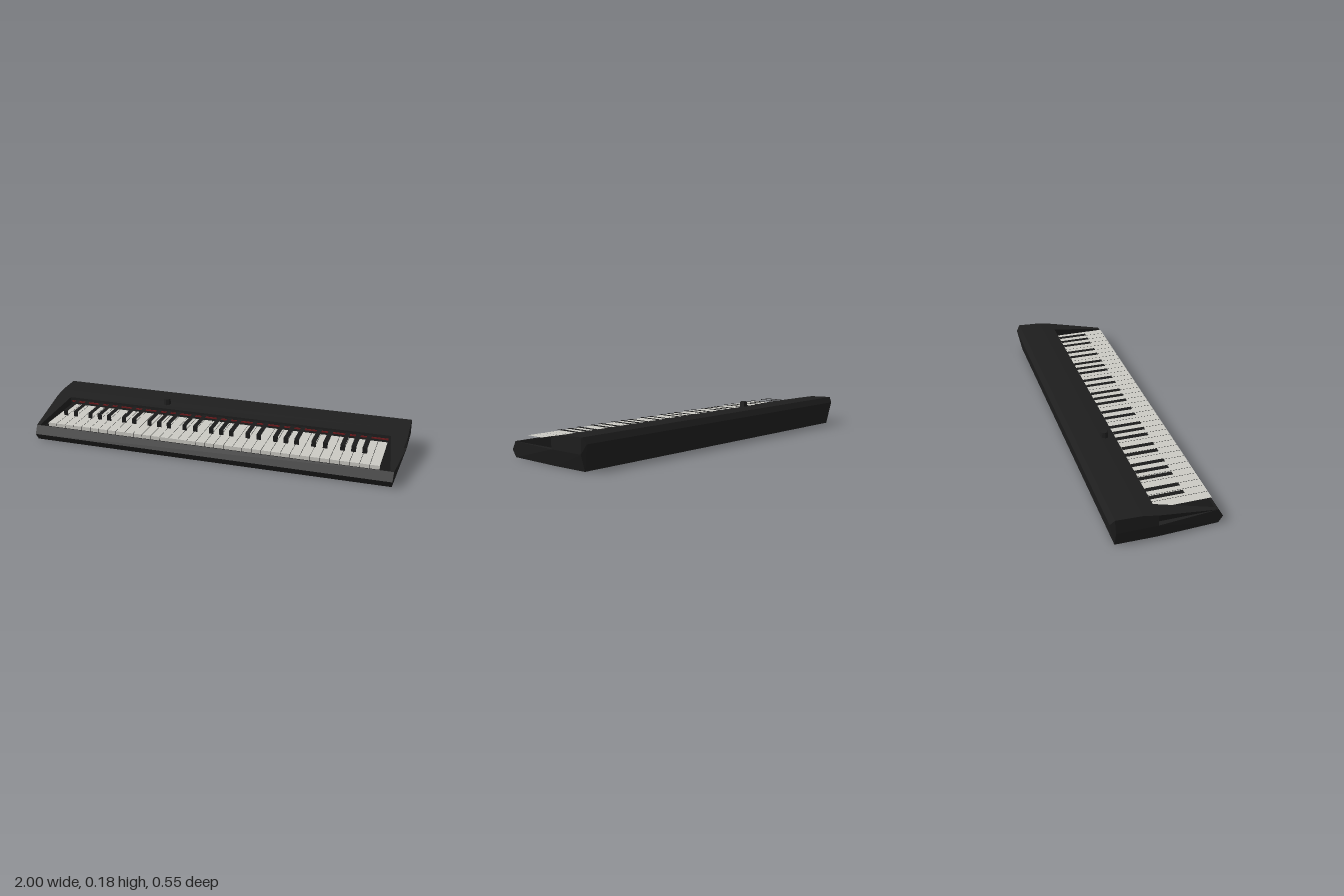
import * as THREE from 'three';

const mat = (name, color, side = THREE.FrontSide) => {
  const m = new THREE.MeshStandardMaterial({ color, side });
  m.name = name;
  return m;
};

// Flat-faced surface from a list of convex polygons
function faces(polys) {
  const pos = [];
  for (const p of polys)
    for (let i = 1; i < p.length - 1; i++) pos.push(...p[0], ...p[i], ...p[i + 1]);
  const g = new THREE.BufferGeometry();
  g.setAttribute('position', new THREE.Float32BufferAttribute(pos, 3));
  g.computeVertexNormals();
  return g;
}

// Skin across the width through profile points [z, y, halfWidth]
function skin(profile) {
  const polys = [];
  for (let i = 0; i < profile.length - 1; i++) {
    const [z0, y0, w0] = profile[i], [z1, y1, w1] = profile[i + 1];
    polys.push([[-w0, y0, z0], [w0, y0, z0], [w1, y1, z1], [-w1, y1, z1]]);
  }
  return faces(polys);
}

// Key shell: a front face and a flat top
const keyShell = (width, zFront, zBack, bottom, top) =>
  skin([[zFront, bottom, width / 2], [zFront, top, width / 2], [zBack, top, width / 2]]);

export function createModel() {
  const model = new THREE.Group();
  model.name = 'stagePiano';
  const casing = mat('casing black', 0x1e1e1e, THREE.DoubleSide);
  const dark = mat('key bed black', 0x161616, THREE.DoubleSide);
  const ivory = mat('white key', 0xcac9c3);
  const ebony = mat('black key', 0x1a1a1a);
  const red = mat('red felt', 0x6c1a1c);

  const add = (name, geometry, material, parent = model) => {
    const m = new THREE.Mesh(geometry, material);
    m.name = name;
    parent.add(m);
    return m;
  };

  // Hollow casing, open below: front rail, rear deck with bevelled back
  add('frontRail', skin([[0.257, 0, 0.967], [0.278, 0.036, 0.97], [0.252, 0.08, 0.972],
    [0.247, 0.08, 0.972], [0.247, 0.065, 0.971]]), casing);
  add('rearDeck', skin([[-0.05, 0.138, 1], [-0.125, 0.152, 1], [-0.256, 0.157, 1],
    [-0.276, 0.127, 0.987], [-0.25, 0, 0.977]]), casing);

  // Key bed and the step up to the deck behind the keys
  add('keyBed', skin([[0.258, 0.065, 0.97], [-0.05, 0.065, 0.97]]), dark);
  add('keySlotWall', skin([[-0.05, 0.138, 0.97], [-0.05, 0.065, 0.97]]), casing);

  // End walls and the sloping cheeks beside the keys
  for (const s of [-1, 1]) {
    const end = new THREE.Group();
    end.name = s > 0 ? 'leftEnd' : 'rightEnd';
    model.add(end);
    const P = (x, y, z) => [s * x, y, z];
    add('endWall', faces([
      [P(0.967, 0, 0.257), P(0.97, 0.036, 0.278), P(0.972, 0.08, 0.252)],
      [P(0.967, 0, 0.257), P(0.972, 0.08, 0.252), P(1, 0.08, -0.05), P(0.98, 0, -0.05)],
      [P(0.98, 0, -0.05), P(1, 0.08, -0.05), P(1, 0.08, -0.25), P(0.977, 0, -0.25)],
      [P(0.977, 0, -0.25), P(1, 0.08, -0.25), P(0.987, 0.127, -0.276)],
      [P(1, 0.08, -0.25), P(1, 0.157, -0.256), P(0.987, 0.127, -0.276)],
      [P(1, 0.08, -0.05), P(1, 0.138, -0.05), P(1, 0.152, -0.125), P(1, 0.157, -0.256), P(1, 0.08, -0.25)],
    ]), casing, end);
    // Cheek: tapering top, undercut outer side with ledge, and inner side
    add('cheek', faces([
      [P(0.955, 0.08, 0.252), P(0.972, 0.08, 0.252), P(1, 0.138, -0.05), P(0.915, 0.138, -0.05)],
      [P(0.972, 0.08, 0.252), P(0.972, 0.08, -0.05), P(1, 0.138, -0.05)],
      [P(0.972, 0.08, 0.252), P(1, 0.08, -0.05), P(0.972, 0.08, -0.05)],
      [P(0.972, 0.08, -0.05), P(1, 0.08, -0.05), P(1, 0.138, -0.05)],
      [P(0.955, 0.08, 0.252), P(0.915, 0.138, -0.05), P(0.915, 0.065, -0.05), P(0.955, 0.065, 0.252)],
    ]), casing, end);
  }

  // Felt strip behind the keys
  add('felt', new THREE.BoxGeometry(1.81, 0.008, 0.004), red).position.set(0, 0.117, -0.047);

  // Five octaves and a final white key
  const keys = new THREE.Group();
  keys.name = 'keyboard';
  model.add(keys);
  const whites = 36, pitch = 1.806 / whites, x0 = -0.904;
  const whiteGeo = keyShell(pitch - 0.002, 0.246, -0.048, 0.066, 0.1);
  const blackGeo = keyShell(0.025, 0.122, -0.046, 0.1, 0.13);
  const shift = { 0: -0.005, 1: 0.005, 3: -0.006, 4: 0, 5: 0.006 };
  for (let i = 0; i < whites; i++) {
    add('whiteKey', whiteGeo, ivory, keys).position.x = x0 + (i + 0.5) * pitch;
    const n = i % 7;
    if (n in shift && i < whites - 1)
      add('blackKey', blackGeo, ebony, keys).position.x = x0 + (i + 1) * pitch + shift[n];
  }

  // Volume knob
  const knobGeo = new THREE.CylinderGeometry(0.019, 0.022, 0.04, 8).toNonIndexed();
  knobGeo.computeVertexNormals();
  add('volumeKnob', knobGeo, casing).position.set(-0.34, 0.158, -0.105);

  return model;
}
